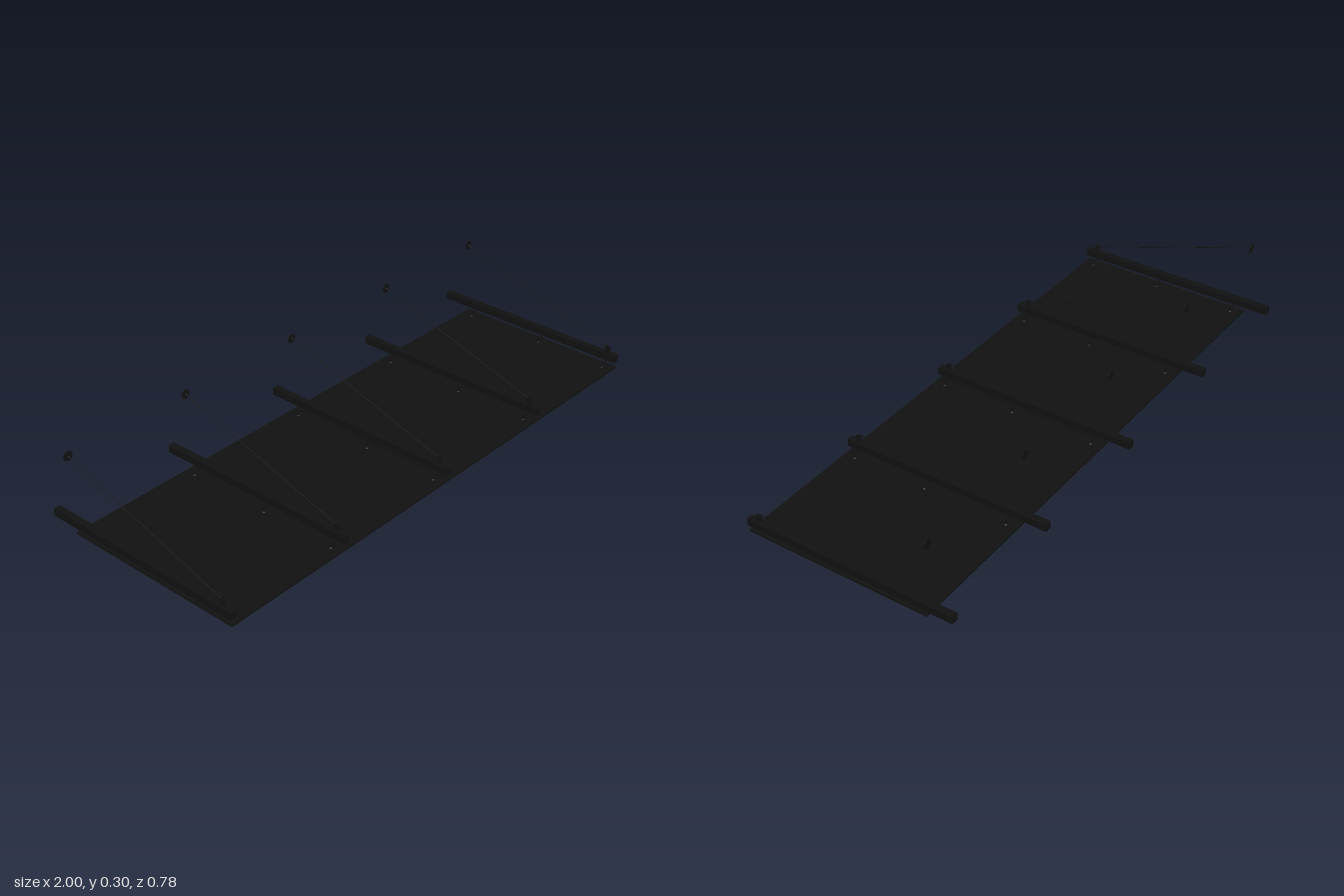
import * as THREE from 'three';

const mat = new THREE.MeshStandardMaterial({ color: 0x111111 });
const beamX = [-0.983, -0.497, 0, 0.497, 0.983];
const fittingZ = [0.351, 0.065, -0.252];

function add(parent, name, geometry, x = 0, y = 0, z = 0) {
  const mesh = new THREE.Mesh(geometry, mat);
  mesh.name = name;
  mesh.position.set(x, y, z);
  parent.add(mesh);
  return mesh;
}

// Round bar or cone between two points
function bar(parent, name, a, b, r0, r1 = r0) {
  const dir = b.clone().sub(a);
  const mesh = add(parent, name, new THREE.CylinderGeometry(r1, r0, dir.length(), 12));
  mesh.position.copy(a).add(b).multiplyScalar(0.5);
  mesh.quaternion.setFromUnitVectors(new THREE.Vector3(0, 1, 0), dir.normalize());
  return mesh;
}

// Upright lug with a pin hole, drawn in the z/y plane
function lugGeometry(thickness) {
  const s = new THREE.Shape();
  s.moveTo(-0.008, 0);
  s.lineTo(0.008, 0);
  s.lineTo(0.008, 0.024);
  s.lineTo(-0.008, 0.024);
  s.closePath();
  const hole = new THREE.Path();
  hole.absarc(0, 0.015, 0.0042, 0, Math.PI * 2, true);
  s.holes.push(hole);
  const g = new THREE.ExtrudeGeometry(s, { depth: thickness, bevelEnabled: false, curveSegments: 16 });
  g.translate(0, 0, -thickness / 2);
  g.rotateY(-Math.PI / 2);
  return g;
}

// Panel fitting: stem under the beam, cross arm, and a pin with a foot on each side
function panelFitting(x, z, sides) {
  const g = new THREE.Group();
  g.name = 'panelFitting';
  g.position.set(x, 0, z);
  add(g, 'stem', new THREE.CylinderGeometry(0.002, 0.002, 0.009, 12), 0, 0.0235, 0);
  for (const s of sides) {
    add(g, 'arm', new THREE.BoxGeometry(0.03, 0.003, 0.004), s * 0.015, 0.0205, 0);
    add(g, 'pin', new THREE.CylinderGeometry(0.002, 0.002, 0.016, 12), s * 0.029, 0.013, 0);
    add(g, 'foot', new THREE.CylinderGeometry(0.004, 0.008, 0.003, 16), s * 0.029, 0.0073, 0);
  }
  return g;
}

// Sloping tie rod with tapered ends, front lugs and wall disc
function tieRod(x) {
  const g = new THREE.Group();
  g.name = 'tieRod';
  g.position.x = x;
  for (const s of [-1, 1]) add(g, 'lug', lugGeometry(0.002), s * 0.004, 0.054, 0.352);
  const low = new THREE.Vector3(0, 0.077, 0.343);
  const high = new THREE.Vector3(0, 0.281, -0.303);
  const at = t => low.clone().lerp(high, t);
  bar(g, 'rod', low, high, 0.0013);
  bar(g, 'lowerEnd', at(0), at(0.025), 0.003, 0.0015);
  bar(g, 'upperEnd', at(0.985), at(1), 0.0015, 0.003);
  add(g, 'forkPin', new THREE.BoxGeometry(0.016, 0.003, 0.003), 0, 0.0775, 0.345);
  const disc = add(g, 'wallDisc', new THREE.CylinderGeometry(0.017, 0.017, 0.002, 32), 0, 0.281, -0.304);
  disc.rotation.x = Math.PI / 2;
  return g;
}

export function createModel() {
  const model = new THREE.Group();
  model.name = 'canopy';

  // Two roof panels with a narrow centre seam
  for (const s of [-1, 1]) {
    add(model, 'roofPanel', new THREE.BoxGeometry(0.988, 0.006, 0.685), s * 0.496, 0.003, 0.0485);
  }

  // Beams with their fittings and tie rods; the end beams reach inward only
  beamX.forEach((x, i) => {
    add(model, 'beam', new THREE.BoxGeometry(0.025, 0.027, 0.782), x, 0.0405, 0);
    const sides = i === 0 ? [1] : i === beamX.length - 1 ? [-1] : [-1, 1];
    for (const z of fittingZ) model.add(panelFitting(x, z, sides));
    model.add(tieRod(x));
  });

  return model;
}
